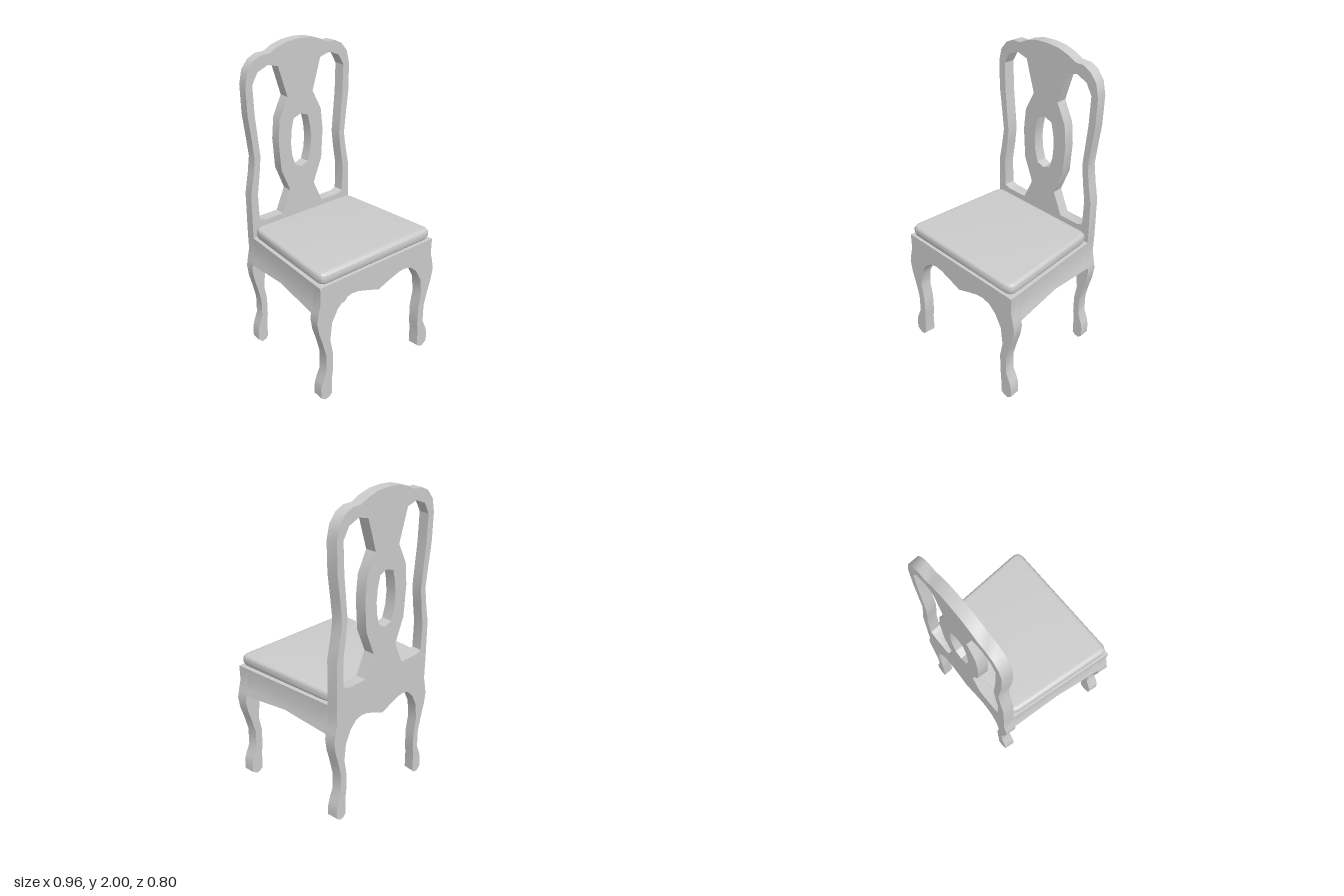
import * as THREE from 'three';
import { toCreasedNormals } from 'three/addons/utils/BufferGeometryUtils.js';

const FRONT = 0.4, DEPTH = 0.07, INNER = FRONT - DEPTH;

// The whole chair narrows towards the back
const taperAt = z => 0.927 + 0.1825 * z;

const vec = pts => pts.map(([x, y]) => new THREE.Vector2(x, y));
// Right half of a symmetric outline (centre bottom to centre top) -> full outline
const mirrored = half => [
  ...half,
  ...half.filter(p => p[0] > 0).reverse().map(([x, y]) => [-x, y]),
];

// Applies the taper and finishes the mesh
function part(name, geometry) {
  const p = geometry.attributes.position;
  for (let i = 0; i < p.count; i++) p.setX(i, p.getX(i) * taperAt(p.getZ(i)));
  const mesh = new THREE.Mesh(
    toCreasedNormals(geometry, 0.5),
    new THREE.MeshStandardMaterial({ color: 0xcccccc }),
  );
  mesh.name = name;
  return mesh;
}

function board(shape, zBack) {
  const g = new THREE.ExtrudeGeometry(shape, { depth: DEPTH, bevelEnabled: false });
  return g.translate(0, 0, zBack);
}

// Scalloped apron, arch and curved leg, from the middle out to the seat corner
const legs = [
  [0, 0.612], [0.095, 0.646], [0.165, 0.668], [0.217, 0.673], [0.27, 0.66],
  [0.323, 0.615], [0.368, 0.535], [0.382, 0.42], [0.362, 0.32], [0.362, 0.2],
  [0.37, 0.14], [0.37, 0.025], [0.39, 0.006], [0.42, 0], [0.455, 0.025],
  [0.455, 0.09], [0.445, 0.13], [0.413, 0.2], [0.413, 0.32], [0.44, 0.42],
  [0.466, 0.5], [0.48, 0.58], [0.467, 0.64], [0.452, 0.7], [0.455, 0.8],
];

// Back posts and crest, measured at the back's front face
const backScale = 1 / taperAt(-INNER);
const widen = pts => pts.map(([x, y]) => [x * backScale, y]);
const crest = widen([
  [0.395, 1.09], [0.37, 1.22], [0.355, 1.325], [0.37, 1.45], [0.39, 1.6],
  [0.395, 1.78], [0.376, 1.865], [0.33, 1.92], [0.276, 1.945], [0.217, 1.945],
  [0.16, 1.973], [0.085, 1.994], [0, 2],
]);
// Opening between post and splat
const sideOpening = widen([
  [0.34, 0.915], [0.345, 1.09], [0.325, 1.22], [0.313, 1.33], [0.325, 1.45],
  [0.34, 1.6], [0.347, 1.78], [0.307, 1.85], [0.233, 1.88], [0.16, 1.86],
  [0.097, 1.66], [0.16, 1.535], [0.174, 1.395], [0.16, 1.2], [0.096, 1.044],
  [0.16, 0.9], [0.3, 0.9],
]);
// Opening in the middle of the splat
const splatOpening = mirrored(widen([
  [0, 1.185], [0.05, 1.205], [0.073, 1.28], [0.08, 1.36], [0.073, 1.44],
  [0.055, 1.515], [0, 1.535],
]));

// Side rail with a shallow arched underside
function railGeometry(side) {
  const section = [
    [0.323, 0.8], [0.323, 0.612], [0.474, 0.612], [0.465, 0.65],
    [0.452, 0.7], [0.455, 0.8],
  ];
  const shape = new THREE.Shape(vec(section.map(([x, y]) => [x * side, y])));
  const g = new THREE.ExtrudeGeometry(shape, { depth: 2 * INNER, steps: 8, bevelEnabled: false });
  g.translate(0, 0, -INNER);
  const p = g.attributes.position;
  for (let i = 0; i < p.count; i++) {
    if (p.getY(i) < 0.63) {
      const lift = 1 - Math.abs(p.getZ(i)) / INNER;
      p.setY(i, 0.612 + 0.03 * lift);
      if (Math.abs(p.getX(i)) > 0.4) p.setX(i, side * (0.474 - 0.007 * lift));
    }
  }
  return g;
}

// Rounded cushion with clipped corners
function cushionGeometry() {
  const r = 0.028, w = 0.446 - r, z0 = -INNER + r, z1 = FRONT - r - 0.003, c = 0.022;
  // Shape y becomes -z after the cushion is laid flat
  const corners = [
    [w - c, -z1], [w - c * 0.3, -z1 + c * 0.3], [w, -z1 + c],
    [w, -z0 - c], [w - c * 0.3, -z0 - c * 0.3], [w - c, -z0],
  ];
  const left = [...corners].reverse().map(([x, y]) => [-x, y]);
  const g = new THREE.ExtrudeGeometry(new THREE.Shape(vec([...corners, ...left])), {
    depth: 0.02, bevelThickness: r, bevelSize: r, bevelSegments: 5,
  });
  return g.rotateX(-Math.PI / 2).translate(0, 0.802 + r, 0);
}

export function createModel() {
  const chair = new THREE.Group();
  chair.name = 'chair';

  // Front legs joined by the apron
  const front = new THREE.Shape(vec(mirrored(legs)));
  chair.add(part('frontLegsAndApron', board(front, INNER)));

  // Back legs, posts, splat and crest in one pierced board
  const back = new THREE.Shape(vec(mirrored([...legs, ...crest])));
  back.holes = [
    sideOpening,
    sideOpening.map(([x, y]) => [-x, y]),
    splatOpening,
  ].map(pts => new THREE.Path(vec(pts)));
  chair.add(part('backLegsAndBackrest', board(back, -FRONT)));

  // Side rails
  for (const side of [1, -1]) {
    chair.add(part(side > 0 ? 'leftSeatRail' : 'rightSeatRail', railGeometry(side)));
  }

  chair.add(part('seatCushion', cushionGeometry()));
  return chair;
}
